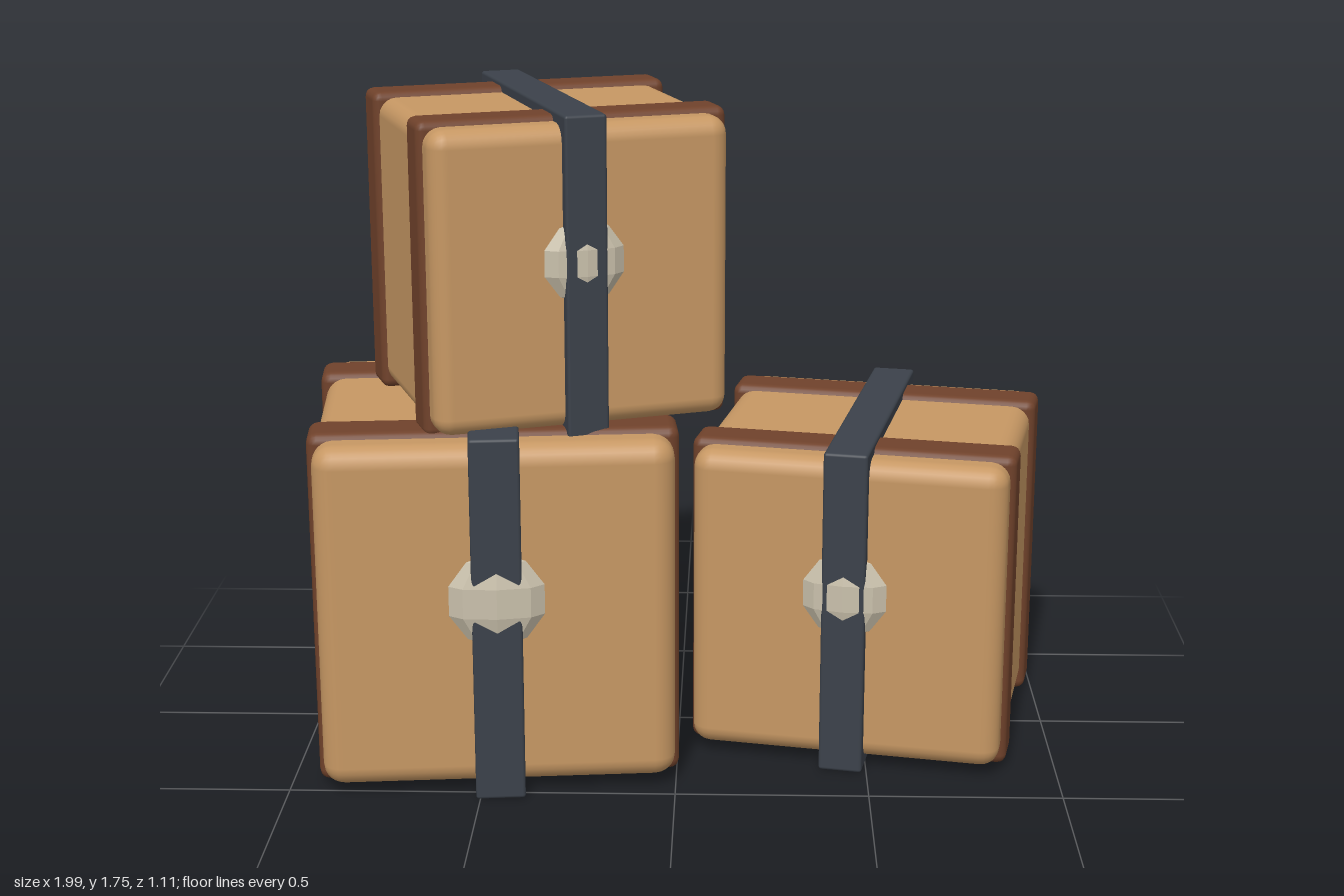
import * as THREE from 'three';
import { RoundedBoxGeometry } from 'three/addons/geometries/RoundedBoxGeometry.js';

function material(name, color) {
  const m = new THREE.MeshStandardMaterial({ color });
  m.name = name;
  return m;
}

export function createModel() {
  const tan = material('tan leather', 0xc69763);
  const brown = material('brown leather', 0x70422b);
  const slate = material('slate strap', 0x3b414a);
  const silver = material('pale metal', 0xc9c0ab);

  function add(group, name, geometry, mat, x = 0, y = 0, z = 0) {
    const mesh = new THREE.Mesh(geometry, mat);
    mesh.name = name;
    mesh.position.set(x, y, z);
    group.add(mesh);
  }

  // One cubic case: rounded body, two wrap bands, a strap and a faceted clasp
  function makeCase(name, s, x, y, z, turn) {
    const g = new THREE.Group();
    g.name = name;
    add(g, 'body', new RoundedBoxGeometry(s, s, s, 3, 0.06 * s), tan);

    const band = s + 0.03;
    for (const side of [-1, 1]) {
      add(g, side > 0 ? 'frontBand' : 'backBand',
        new RoundedBoxGeometry(band, band, 0.16 * s, 2, 0.03 * s), brown, 0, 0, side * 0.325 * s);
    }

    const strap = s + 0.055;
    add(g, 'strap', new RoundedBoxGeometry(0.14 * s, strap, strap, 2, 0.008), slate);

    // Flattened low-poly sphere, half sunk into the front face
    const r = 0.14 * s;
    const clasp = new THREE.SphereGeometry(r, 8, 5).scale(1, 1, 0.3).toNonIndexed();
    clasp.computeVertexNormals();
    add(g, 'clasp', clasp, silver, 0, 0.057 * s, s / 2);

    g.position.set(x, y, z);
    g.rotation.y = turn;
    return g;
  }

  const model = new THREE.Group();
  model.name = 'caseStack';
  model.add(
    makeCase('largeCase', 0.91, -0.495, 0.4825, 0.06, 0.1),
    makeCase('mediumCase', 0.82, 0.517, 0.4375, -0.08, -0.2),
    makeCase('topCase', 0.77, -0.36, 1.335, 0.01, 0.35),
  );
  return model;
}
